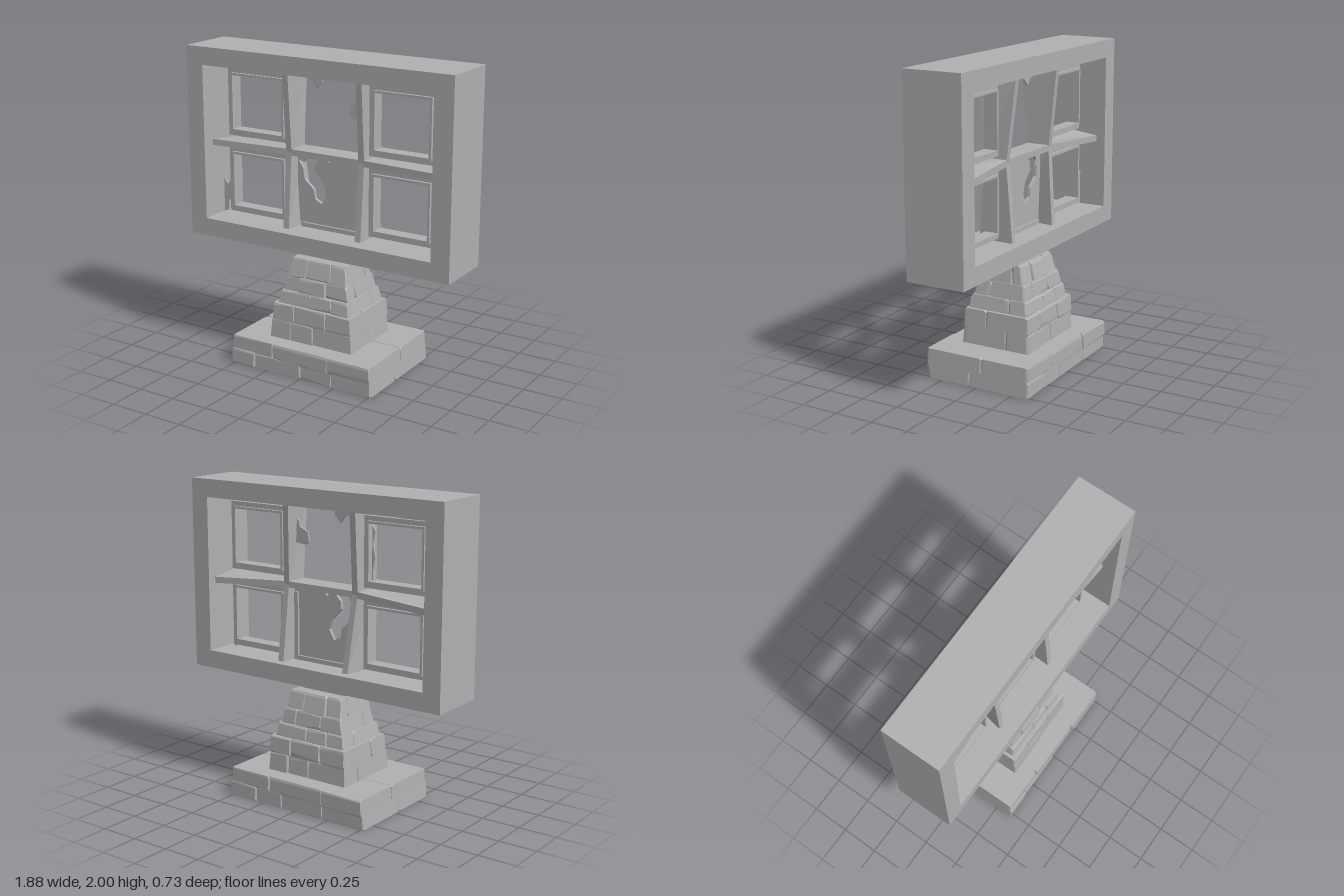
import * as THREE from 'three';
import { ConvexGeometry } from 'three/addons/geometries/ConvexGeometry.js';

const grey = new THREE.MeshStandardMaterial({ color: 0xb0b0b0 });
grey.name = 'weathered grey';

let seed = 11;
const rnd = () => (seed = (seed * 16807) % 2147483647) / 2147483647;

function add(group, name, geometry, x = 0, y = 0, z = 0) {
  const mesh = new THREE.Mesh(geometry, grey);
  mesh.name = name;
  mesh.position.set(x, y, z);
  group.add(mesh);
  return mesh;
}

const box = (w, h, d) => new THREE.BoxGeometry(w, h, d);

// Rectangular ring between two rectangles given as [x0, y0, x1, y1]
function ring(outer, inner, depth) {
  const path = (P, [a, b, c, d]) => new P([[a, b], [c, b], [c, d], [a, d]].map(p => new THREE.Vector2(...p)));
  const shape = path(THREE.Shape, outer);
  shape.holes.push(path(THREE.Path, inner));
  return new THREE.ExtrudeGeometry(shape, { depth, bevelEnabled: false });
}

// Thin flat piece with a ragged outline
function shard(points, depth = 0.012, hole) {
  const toV = list => list.map(p => new THREE.Vector2(...p));
  const shape = new THREE.Shape(toV(points));
  if (hole) shape.holes.push(new THREE.Path(toV(hole)));
  return new THREE.ExtrudeGeometry(shape, { depth, bevelEnabled: false });
}

// Glazing bar along +y from the crossing (y = 0) outwards, deeper at its outer end
function glazingBar(length, twist) {
  const g = box(0.04, length, 1).translate(0, length / 2, 0);
  const p = g.attributes.position;
  for (let i = 0; i < p.count; i++) {
    const end = p.getY(i) / length;
    const back = p.getZ(i) < 0;
    p.setZ(i, back ? -0.08 - 0.05 * end : 0.07 + 0.04 * end);
    if (back) p.setX(i, p.getX(i) + twist * end);
  }
  const flat = g.toNonIndexed();
  flat.computeVertexNormals();
  return flat;
}

// Chipped, chamfered stone; map bends the straight block onto the tapering pier
function stone(x0, x1, y0, y1, z0, z1, map) {
  const pts = [];
  const mid = [(x0 + x1) / 2, (y0 + y1) / 2, (z0 + z1) / 2];
  for (const x of [x0, x1]) for (const y of [y0, y1]) for (const z of [z0, z1]) {
    for (let axis = 0; axis < 3; axis++) {
      const c = [x, y, z];
      const chip = 0.007 + (rnd() < 0.15 ? 0.03 : 0.011) * rnd();
      c[axis] += Math.sign(mid[axis] - c[axis]) * chip;
      const other = (axis + 2) % 3;
      if (other !== 1) c[other] += Math.sign(mid[other] - c[other]) * rnd() * 0.01;
      pts.push(map(...c));
    }
  }
  return new ConvexGeometry(pts);
}

// One course: front and back rows of stones, split at the listed fractions of the width
function course(group, name, y0, y1, hx, hz, frontSplits, backSplits, zSplit, map) {
  const rows = [[frontSplits, zSplit, hz], [backSplits, -hz, zSplit]];
  for (const [splits, z0, z1] of rows) {
    const edges = [-1, ...splits, 1];
    for (let i = 0; i < edges.length - 1; i++) {
      const bulge = rnd() * 0.014;
      const a = z0 < 0 && z1 < hz ? z0 + bulge : z0;
      const b = z1 === hz ? z1 - bulge : z1;
      add(group, name, stone(edges[i] * hx, edges[i + 1] * hx, y0, y1, a, b, map));
    }
  }
}

function buildFrame() {
  const frame = new THREE.Group();
  frame.name = 'windowFrame';

  add(frame, 'outerFrame', ring([-0.94, 0.765, 0.94, 2], [-0.82, 0.88, 0.815, 1.885], 0.39), 0, 0, -0.19);

  // Glazing bars
  add(frame, 'middleBar', box(0.53, 0.04, 0.15), 0, 1.37, -0.005);
  for (const [x, up, down] of [[-0.26, 0.012, 0.04], [0.265, 0.035, 0.012]]) {
    add(frame, 'upperBar', glazingBar(0.53, -up), x, 1.365, 0);
    add(frame, 'lowerBar', glazingBar(0.5, -down), x, 1.375, 0).rotation.z = Math.PI;
  }
  add(frame, 'leftCrossBar', glazingBar(0.56, 0.03), 0.26, 1.37, 0).rotation.z = -Math.PI / 2;
  add(frame, 'rightCrossBar', glazingBar(0.57, -0.03), -0.255, 1.37, 0).rotation.z = Math.PI / 2;

  // Four sashes, each a wide ring with a narrower step inside
  for (const [x0, x1] of [[-0.755, -0.29], [0.29, 0.75]]) {
    for (const [y0, y1] of [[0.9, 1.335], [1.41, 1.85]]) {
      const inset = d => [x0 + d, y0 + d, x1 - d, y1 - d];
      add(frame, 'sash', ring(inset(0), inset(0.032), 0.05), 0, 0, -0.03);
      add(frame, 'sashStep', ring(inset(0.03), inset(0.045), 0.09), 0, 0, -0.05);
    }
  }

  // Broken lower middle panel with its rim
  add(frame, 'brokenPanel', shard(
    [[-0.215, 0.88], [0.245, 0.88], [0.245, 1.35], [0.03, 1.35], [-0.01, 1.32], [-0.04, 1.35], [-0.24, 1.35], [-0.24, 0.98]],
    0.02,
    [[-0.232, 1.31], [-0.19, 1.3], [-0.165, 1.345], [-0.07, 1.34], [-0.11, 1.3], [-0.115, 1.25], [-0.05, 1.18],
      [-0.025, 1.11], [-0.06, 1.045], [-0.11, 1.07], [-0.12, 1.13], [-0.19, 1.19], [-0.2, 1.26]],
  ), 0, 0, -0.02);
  add(frame, 'panelRim', box(0.44, 0.028, 0.05), 0.015, 0.894, -0.01);
  add(frame, 'panelRim', box(0.028, 0.44, 0.05), 0.226, 1.1, -0.01);

  // Ragged remains left around the openings
  const remains = [
    [[-0.17, 1.89], [-0.165, 1.84], [-0.13, 1.82], [-0.1, 1.78], [-0.06, 1.82], [-0.055, 1.89]],
    [[0.25, 1.79], [0.22, 1.77], [0.21, 1.73], [0.15, 1.7], [0.14, 1.64], [0.17, 1.62], [0.25, 1.63]],
    [[-0.82, 0.88], [-0.79, 0.89], [-0.785, 0.96], [-0.755, 0.98], [-0.757, 1.1], [-0.79, 1.07], [-0.82, 1.11]],
    [[-0.32, 1.8], [-0.335, 1.79], [-0.355, 1.76], [-0.34, 1.68], [-0.355, 1.6], [-0.34, 1.52], [-0.345, 1.45], [-0.32, 1.45]],
    [[0.45, 1.89], [0.5, 1.87], [0.7, 1.872], [0.76, 1.89]],
    [[0.74, 0.9], [0.755, 0.88], [0.765, 1.1], [0.755, 1.33], [0.745, 1.33]],
    [[0.28, 1.44], [0.295, 1.47], [0.31, 1.51], [0.3, 1.57], [0.28, 1.6]],
    [[-0.72, 1.85], [-0.6, 1.857], [-0.33, 1.835], [-0.32, 1.8], [-0.4, 1.82]],
  ];
  for (const outline of remains) add(frame, 'raggedRemnant', shard(outline), 0, 0, -0.01);
  return frame;
}

function buildPedestal() {
  const pedestal = new THREE.Group();
  pedestal.name = 'stonePedestal';

  add(pedestal, 'neck', box(0.35, 0.12, 0.11), 0, 0.71, 0.005);

  // Solid cores behind the joints
  add(pedestal, 'baseCore', box(0.99, 0.168, 0.69), -0.003, 0.084, 0);
  const core = new THREE.CylinderGeometry(Math.SQRT1_2, 1, 0.5, 4, 1).rotateY(Math.PI / 4).toNonIndexed();
  const p = core.attributes.position;
  for (let i = 0; i < p.count; i++) {
    const top = p.getY(i) > 0;
    p.setX(i, Math.sign(Math.round(p.getX(i) * 100)) * (top ? 0.17 : 0.275));
    p.setZ(i, Math.sign(Math.round(p.getZ(i) * 100)) * (top ? 0.12 : 0.222));
  }
  core.computeVertexNormals();
  add(pedestal, 'pierCore', core, 0, 0.435, 0);

  // Base slab: two courses, slightly narrower at the top
  const baseMap = (x, y, z) => new THREE.Vector3(x * (1 - 0.12 * y) - 0.003, Math.max(y, 0), z);
  course(pedestal, 'baseStone', -0.01, 0.1, 0.518, 0.365, [-0.66, 0, 0.45], [-0.4, 0.2, 0.6], 0.05, baseMap);
  course(pedestal, 'baseStone', 0.085, 0.188, 0.518, 0.367, [-0.4, 0.4], [-0.4, 0.4], -0.03, baseMap);

  // Tapering pier
  const levels = [0.172, 0.305, 0.41, 0.495, 0.59, 0.705];
  const splits = [[-0.5, 0.05], [-0.45, 0.35], [-0.1, 0.5], [-0.55, 0.3], [-0.4, 0.45]];
  const reach = [[0.3, 0.245], [0.293, 0.24], [0.265, 0.215], [0.238, 0.188], [0.215, 0.168]];
  splits.forEach((s, i) => {
    const [hx, hz] = reach[i];
    const lean = i < 2 ? 0.25 : 0.8;
    const taper = (x, y, z) => {
      const k = 1 - lean * (y - levels[i]);
      return new THREE.Vector3(x * k, y, z * (i === 4 ? 1 - 1.6 * (y - levels[i]) : k));
    };
    course(pedestal, 'pierStone', levels[i] - 0.004, levels[i + 1] + 0.004, hx, hz,
      s, s.map(v => -v).reverse(), i % 2 ? 0.07 : -0.08, taper);
  });
  return pedestal;
}

export function createModel() {
  const model = new THREE.Group();
  model.name = 'windowOnPedestal';
  model.add(buildFrame(), buildPedestal());
  return model;
}
